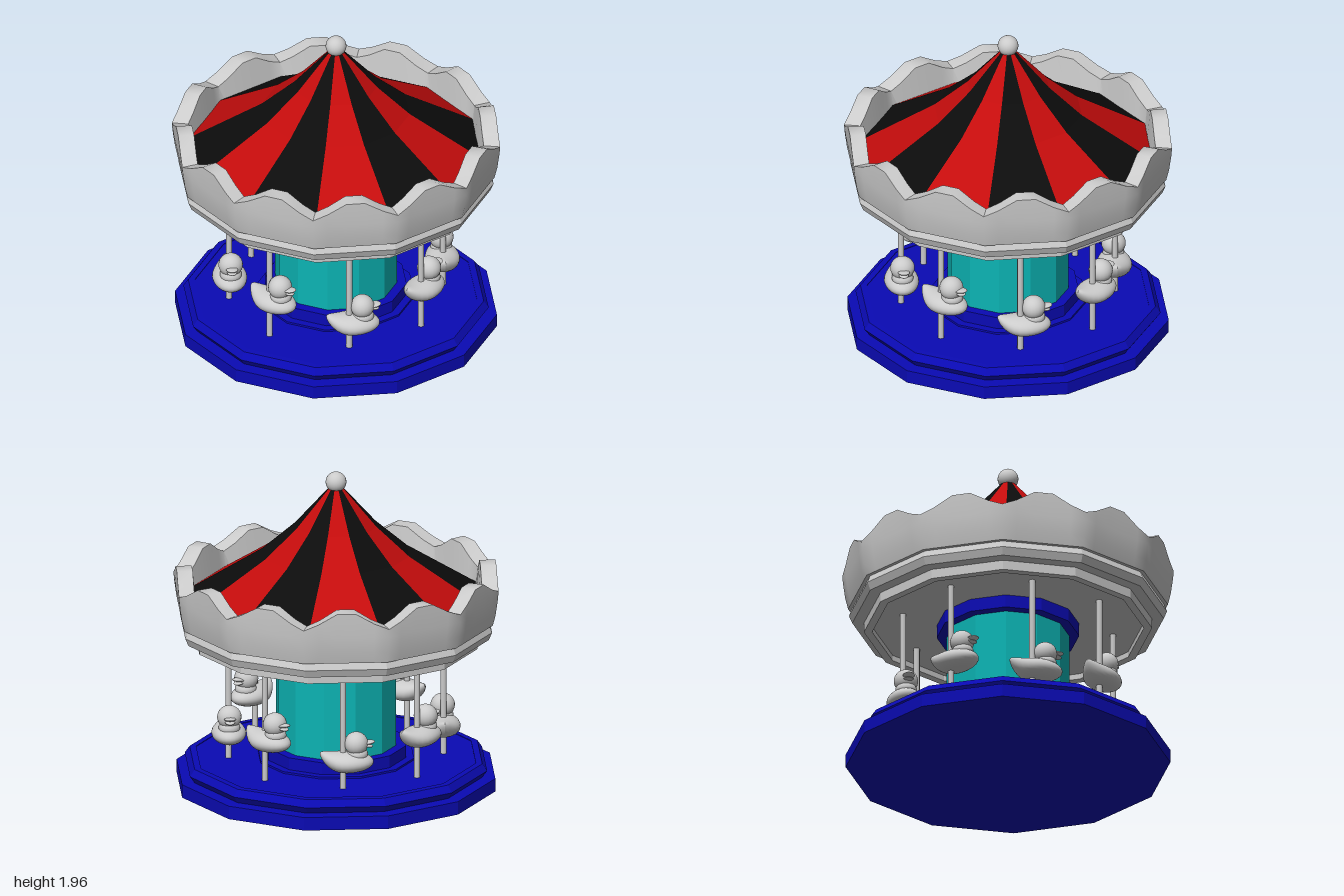
import * as THREE from 'three';
import { toCreasedNormals } from 'three/addons/utils/BufferGeometryUtils.js';

const SIDES = 12;
const STEP = (Math.PI * 2) / SIDES;

const flat = (color, extra = {}) => new THREE.MeshStandardMaterial({ color, flatShading: true, ...extra });
const grey = new THREE.MeshStandardMaterial({ color: 0xcccccc });
const greyFlat = flat(0xcccccc);
const blue = flat(0x0a0ab4);
const teal = flat(0x0cb4b4);
const red = flat(0xc40c0c, { side: THREE.DoubleSide });
const black = flat(0x0c0c0c, { side: THREE.DoubleSide });

function add(parent, name, geometry, material, x = 0, y = 0, z = 0) {
  const mesh = new THREE.Mesh(geometry, material);
  mesh.name = name;
  mesh.position.set(x, y, z);
  parent.add(mesh);
  return mesh;
}

// Twelve-sided turned part; profile runs from bottom to top as [radius, y]
function turned(profile, sides = SIDES, start = 0, sweep = Math.PI * 2) {
  return new THREE.LatheGeometry(profile.map(([r, y]) => new THREE.Vector2(r, y)), sides, start, sweep);
}

const drum = (r, y0, y1) => turned([[0, y0], [r, y0], [r, y1], [0, y1]]);

// Scalloped wall: one closed cross-section swept round the twelve straight panels
function parapetGeometry() {
  const scallop = [[0, 0], [0.17, 0.035], [0.39, 0.1], [0.61, 0.1], [0.83, 0.035]];
  const positions = [], indices = [];
  const n = 6, columns = SIDES * scallop.length;
  for (let k = 0; k < SIDES; k++) {
    const a = k * STEP, b = a + STEP;
    for (const [t, rise] of scallop) {
      const dx = THREE.MathUtils.lerp(Math.sin(a), Math.sin(b), t);
      const dz = THREE.MathUtils.lerp(Math.cos(a), Math.cos(b), t);
      const top = 1.27 + rise;
      const section = [[0.87, 1.05], [0.965, 1.05], [0.982, 1.12], [0.996, 1.22], [1, top], [0.9, top]];
      for (const [r, y] of section) positions.push(dx * r, y, dz * r);
    }
  }
  for (let c = 0; c < columns; c++) {
    const p = c * n, q = ((c + 1) % columns) * n;
    for (let j = 0; j < n; j++) {
      const k = (j + 1) % n;
      indices.push(p + j, q + j, p + k, q + k, p + k, q + j);
    }
  }
  const g = new THREE.BufferGeometry();
  g.setAttribute('position', new THREE.Float32BufferAttribute(positions, 3));
  g.setIndex(indices);
  return toCreasedNormals(g, 0.58);
}

// Duck body: a sphere with a flattened belly and a narrow, upturned tail
function duckBodyGeometry() {
  const g = new THREE.SphereGeometry(1, 28, 18);
  const p = g.attributes.position;
  for (let i = 0; i < p.count; i++) {
    const x = p.getX(i), y = p.getY(i), z = p.getZ(i);
    const tail = Math.max(0, -x);
    p.setXYZ(i,
      0.023 + 0.163 * x,
      0.065 + Math.max(0.065 * y, -0.06) + 0.055 * tail ** 3,
      0.105 * z * (1 - 0.4 * tail * tail));
  }
  g.computeVertexNormals();
  return g;
}

function createDuck() {
  const duck = new THREE.Group();
  duck.name = 'duck';
  const ball = new THREE.SphereGeometry(1, 20, 14);
  add(duck, 'duckBody', duckBodyGeometry(), grey);
  add(duck, 'duckNeck', ball, grey, 0.085, 0.115, 0).scale.set(0.066, 0.05, 0.066);
  add(duck, 'duckHead', ball, grey, 0.08, 0.18, 0).scale.set(0.072, 0.072, 0.074);
  const upper = add(duck, 'upperBeak', ball, grey, 0.152, 0.186, 0);
  upper.scale.set(0.042, 0.011, 0.036);
  upper.rotation.z = 0.12;
  const lower = add(duck, 'lowerBeak', ball, grey, 0.148, 0.166, 0);
  lower.scale.set(0.034, 0.01, 0.03);
  lower.rotation.z = -0.15;
  return duck;
}

export function createModel() {
  const model = new THREE.Group();
  model.name = 'carousel';

  // Stepped base with a bevelled platform
  add(model, 'base', turned([
    [0, 0], [0.98, 0], [0.98, 0.082], [0.9, 0.085], [0.93, 0.127],
    [0.9, 0.17], [0.86, 0.172], [0.86, 0.168], [0, 0.168],
  ]), blue);
  add(model, 'innerFloor', drum(0.48, 0.16, 0.18), blue);

  // Centre column
  add(model, 'columnFoot', drum(0.43, 0.17, 0.255), blue);
  add(model, 'column', drum(0.37, 0.25, 0.86), teal);
  add(model, 'columnCap', drum(0.43, 0.85, 0.94), blue);

  // Canopy ceiling with a recessed underside and moulded rim
  add(model, 'canopyRim', turned([
    [0, 0.93], [0.82, 0.93], [0.82, 0.895], [0.87, 0.895], [0.87, 0.955],
    [0.94, 0.957], [0.96, 1.005], [0.94, 1.055], [0, 1.055],
  ]), greyFlat);
  add(model, 'parapet', parapetGeometry(), grey);

  // Striped tent roof, one panel per side
  const roof = new THREE.Group();
  roof.name = 'roof';
  model.add(roof);
  const slope = [[0.9, 1.17], [0.45, 1.455], [0.25, 1.63], [0.02, 1.89]];
  for (let k = 0; k < SIDES; k++) {
    add(roof, 'roofPanel', turned(slope, 1, k * STEP, STEP), k % 2 ? red : black);
  }
  add(model, 'finial', new THREE.SphereGeometry(0.063, 24, 16), grey, 0, 1.9, 0);

  // Eight poles with ducks at alternating heights
  const poleGeometry = new THREE.CylinderGeometry(0.019, 0.019, 0.77, 10);
  for (let i = 0; i < 8; i++) {
    const ride = new THREE.Group();
    ride.name = 'ride';
    ride.rotation.y = (i * Math.PI) / 4;
    add(ride, 'pole', poleGeometry, grey, 0, 0.55, 0.65);
    const duck = createDuck();
    duck.position.set(0, i % 2 ? 0.27 : 0.358, 0.65);
    ride.add(duck);
    model.add(ride);
  }
  return model;
}
